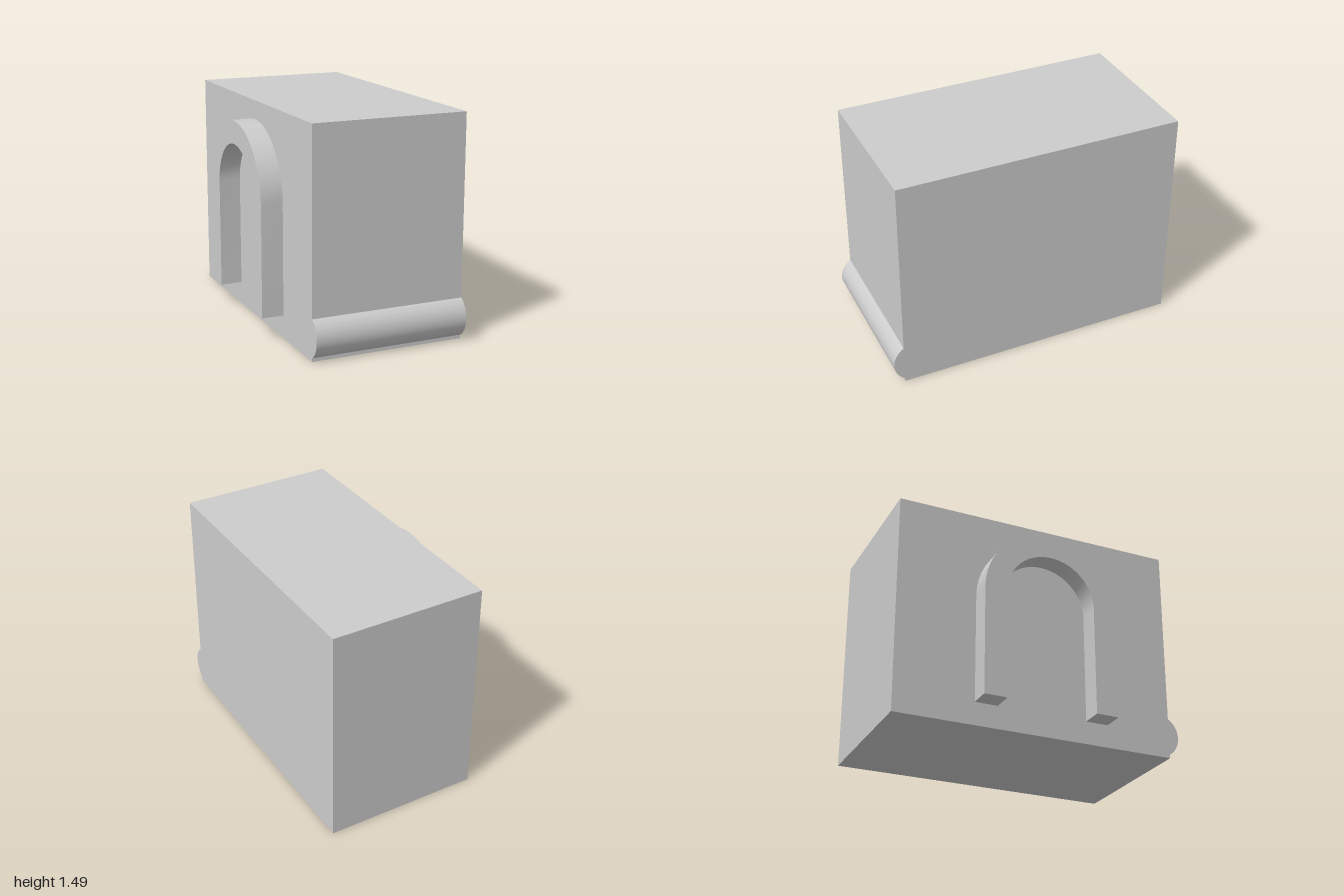
import * as THREE from 'three';
import { toCreasedNormals } from 'three/addons/utils/BufferGeometryUtils.js';

const LEFT = 0.595, RIGHT = -0.45, HEIGHT = 1.485, FRONT = 0.93, BACK = -1;

// Extrudes a side profile (shape x = z, shape y = y) from xStart towards -x
function extrudeSideways(shape, xStart, depth, curveSegments) {
  const geo = new THREE.ExtrudeGeometry(shape, { depth, bevelEnabled: false, curveSegments });
  geo.rotateY(-Math.PI / 2).translate(xStart, 0, 0);
  return toCreasedNormals(geo, 0.5);
}

export function createModel() {
  const grey = new THREE.MeshStandardMaterial({ color: 0xcccccc });
  grey.name = 'light grey';
  const group = new THREE.Group();
  const add = (name, geometry) => {
    const mesh = new THREE.Mesh(geometry, grey);
    mesh.name = name;
    group.add(mesh);
  };

  // Main block
  const width = LEFT - RIGHT;
  const body = new THREE.BoxGeometry(width, HEIGHT, FRONT - BACK);
  body.translate((LEFT + RIGHT) / 2, HEIGHT / 2, (FRONT + BACK) / 2);
  add('body', body);

  // Rounded lip along the lower front edge: the part of a circle ahead of the body
  const r = 0.149, cz = 1 - r, half = Math.acos((FRONT - cz) / r);
  const lip = new THREE.Shape();
  lip.absarc(cz, 0.15, r, -half, half, false);
  lip.closePath();
  add('frontLip', extrudeSideways(lip, LEFT, width, 16));

  // Arched frame on the right side, open at the bottom
  const bottom = 0.155, spring = 0.895, outer = 0.465, inner = 0.31, mid = 0.005;
  const arch = new THREE.Shape();
  arch.moveTo(mid + inner, bottom);
  arch.lineTo(mid + outer, bottom);
  arch.absarc(mid, spring, outer, 0, Math.PI, false);
  arch.lineTo(mid - outer, bottom);
  arch.lineTo(mid - inner, bottom);
  arch.absarc(mid, spring, inner, Math.PI, 0, true);
  arch.closePath();
  add('sideArch', extrudeSideways(arch, RIGHT, 0.147, 12));

  return group;
}
